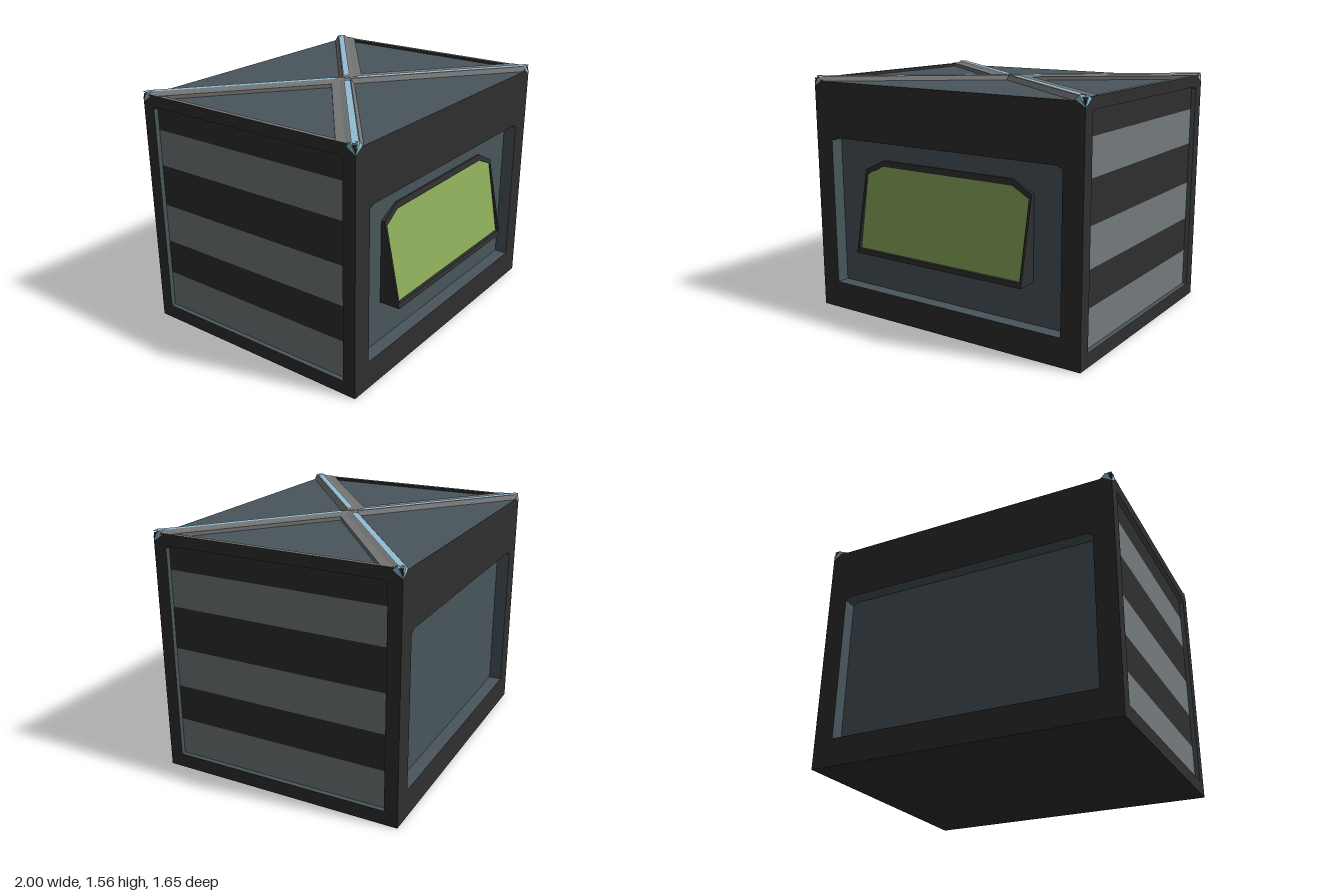
import * as THREE from 'three';
import { ConvexGeometry } from 'three/addons/geometries/ConvexGeometry.js';

const CZ = -0.025;            // centre of the box in z
const HX = 0.998, HZ = 0.798; // half sizes of the box
const WALL_TOP = 1.523;

const paint = (name, color, side = THREE.FrontSide) => {
  const m = new THREE.MeshStandardMaterial({ color, side });
  m.name = name;
  return m;
};

export function createModel() {
  const charcoal = paint('charcoal', 0x2f2f2f);
  const slate = paint('slate', 0x495659, THREE.DoubleSide);
  slate.color.set(0x49565c);
  const grey = paint('stripe grey', 0x747a7d);
  const barGrey = paint('bar grey', 0x747474, THREE.DoubleSide);
  const blue = paint('light blue', 0x92bdd4, THREE.DoubleSide);
  const green = paint('screen green', 0x8eae5c);

  const model = new THREE.Group();
  model.name = 'crate';
  const add = (name, geometry, material, parent = model) => {
    const mesh = new THREE.Mesh(geometry, material);
    mesh.name = name;
    parent.add(mesh);
    return mesh;
  };
  const v2 = (pts) => pts.map(([x, y]) => new THREE.Vector2(x, y));
  const quads = (list) => {
    const g = new THREE.BufferGeometry();
    const p = list.flatMap(([a, b, c, d]) => [a, b, c, a, c, d].flat());
    g.setAttribute('position', new THREE.Float32BufferAttribute(p, 3));
    g.computeVertexNormals();
    return g;
  };
  // Rectangle opening with clipped upper corners, counter-clockwise
  const clipped = (x0, x1, y0, y1, cx, cy) =>
    [[x0, y0], [x1, y0], [x1, y1 - cy], [x1 - cx, y1], [x0 + cx, y1], [x0, y1 - cy]];

  // One wall: flat frame with an opening, the opening's edges and a sunken panel
  function wall(name, half, dist, angle, opening, depth, bands) {
    const g = new THREE.Group();
    g.name = name;
    const frame = new THREE.Shape(v2([[-half, 0], [half, 0], [half, WALL_TOP], [-half, WALL_TOP]]));
    frame.holes.push(new THREE.Path(v2(opening)));
    add(name + 'Frame', new THREE.ShapeGeometry(frame), charcoal, g).position.z = dist;
    const edges = opening.map((p, i) => {
      const q = opening[(i + 1) % opening.length];
      return [[...p, dist], [...q, dist], [...q, dist - depth], [...p, dist - depth]];
    });
    add(name + 'Recess', quads(edges), slate, g);
    const xs = opening.map((p) => p[0]);
    const x0 = Math.min(...xs), x1 = Math.max(...xs), z = dist - depth;
    bands.forEach(([y0, y1, material]) =>
      add(name + 'Panel', quads([[[x0, y0, z], [x1, y0, z], [x1, y1, z], [x0, y1, z]]]), material, g));
    g.rotation.y = angle;
    g.position.z = CZ;
    model.add(g);
  }

  // Front and back walls
  const bay = clipped(-0.865, 0.865, 0.18, 1.165, 0.035, 0.02);
  wall('front', HX, 0.8, 0, bay, 0.085, [[0.18, 1.165, slate]]);
  wall('back', HX, 0.8, Math.PI, bay, 0.085, [[0.18, 1.165, slate]]);

  // Striped side walls
  const levels = [0.09, 0.332, 0.562, 0.815, 1.085, 1.318, 1.47];
  const bands = levels.slice(1).map((y, i) => [levels[i], y, i % 2 ? charcoal : grey]);
  const sideBay = clipped(-0.715, 0.715, 0.09, 1.47, 0.025, 0.015);
  wall('left', 0.8, HX, Math.PI / 2, sideBay, 0.03, bands);
  wall('right', 0.8, HX, -Math.PI / 2, sideBay, 0.03, bands);

  // Floor and roof sheets
  const floor = add('floor', new THREE.PlaneGeometry(2 * HX, 1.6), charcoal);
  floor.rotation.x = Math.PI / 2;
  floor.position.z = CZ;

  const roof = new THREE.Group();
  roof.name = 'roof';
  roof.position.z = CZ;
  model.add(roof);
  const sheet = add('roofPanel', new THREE.PlaneGeometry(2 * HX, 1.6), slate, roof);
  sheet.rotation.x = -Math.PI / 2;
  sheet.position.y = WALL_TOP;

  // Rails along both side edges, grey on top
  for (const s of [-1, 1]) {
    const rail = add('sideRail', new THREE.BoxGeometry(0.03, 0.02, 1.59),
      [charcoal, charcoal, barGrey, charcoal, charcoal, charcoal], roof);
    rail.position.set(s * (HX - 0.015), WALL_TOP + 0.01, 0);
  }

  // Diagonal bars: profile lines run parallel to the diagonal, mitred at both ends
  const len = Math.hypot(HX, HZ), sin = HZ / len, cos = HX / len;
  const line = ([o, y], sx, sz, t0) => {
    const start = o >= 0 ? [o / sin, 0] : [0, -o / cos];
    const end = o >= 0 ? [HX, HZ - o / cos] : [HX + o / sin, HZ];
    return [t0, 1].map((t) => [
      sx * (start[0] + (end[0] - start[0]) * t), y, sz * (start[1] + (end[1] - start[1]) * t)]);
  };
  const strip = (profile, sx, sz, t0) => quads(profile.slice(1).map((p, i) => {
    const a = line(profile[i], sx, sz, t0), b = line(p, sx, sz, t0);
    return sx * sz > 0 ? [a[0], a[1], b[1], b[0]] : [b[0], b[1], a[1], a[0]];
  }));
  const barProfile = [[-0.047, WALL_TOP], [-0.024, 1.552], [0, 1.552], [0.024, 1.552],
    [0.05, 1.546], [0.1, 1.546], [0.1, WALL_TOP]];
  const stripe = [[-0.02, 1.555], [0, 1.555], [0.02, 1.555]];
  const capPoints = [[1, 1.49, 0.8], [0.935, 1.53, 0.8], [0.96, 1.556, 0.8],
    [1, 1.53, 0.74], [1, 1.556, 0.765], [0.94, 1.556, 0.75]];
  for (const sx of [-1, 1]) for (const sz of [-1, 1]) {
    add('diagonalBar', strip(barProfile, sx, sz, 0), barGrey, roof);
    add('diagonalStripe', strip(stripe, sx, sz, 0.05), blue, roof);
    add('cornerCap', new ConvexGeometry(capPoints.map(([x, y, z]) =>
      new THREE.Vector3(sx * x, y, sz * (z + 0.001)))), blue, roof);
  }
  add('roofStud', new THREE.BoxGeometry(0.03, 0.005, 0.03), blue, roof).position.y = 1.553;

  // Sloping display on the front
  const slope = (y) => 0.825 - 0.208 * (y - 0.438);
  const inner = clipped(-0.617, 0.617, 0.468, 1.0, 0.125, 0.06);
  const rimShape = new THREE.Shape(v2(clipped(-0.632, 0.632, 0.438, 1.038, 0.14, 0.07)));
  rimShape.holes.push(new THREE.Path(v2(inner)));
  let rim = new THREE.ExtrudeGeometry(rimShape, { depth: 1, bevelEnabled: false });
  const rp = rim.attributes.position;
  for (let i = 0; i < rp.count; i++) rp.setZ(i, rp.getZ(i) > 0.5 ? slope(rp.getY(i)) : 0.685);
  rim.computeVertexNormals();
  add('displayRim', rim, charcoal);

  const screen = new THREE.ShapeGeometry(new THREE.Shape(v2(inner)));
  const sp = screen.attributes.position;
  for (let i = 0; i < sp.count; i++) {
    const y = sp.getY(i);
    sp.setZ(i, slope(y) - 0.02 + 0.015 * (y - 0.468) / 0.532);
  }
  screen.computeVertexNormals();
  add('displayScreen', screen, green);

  return model;
}
